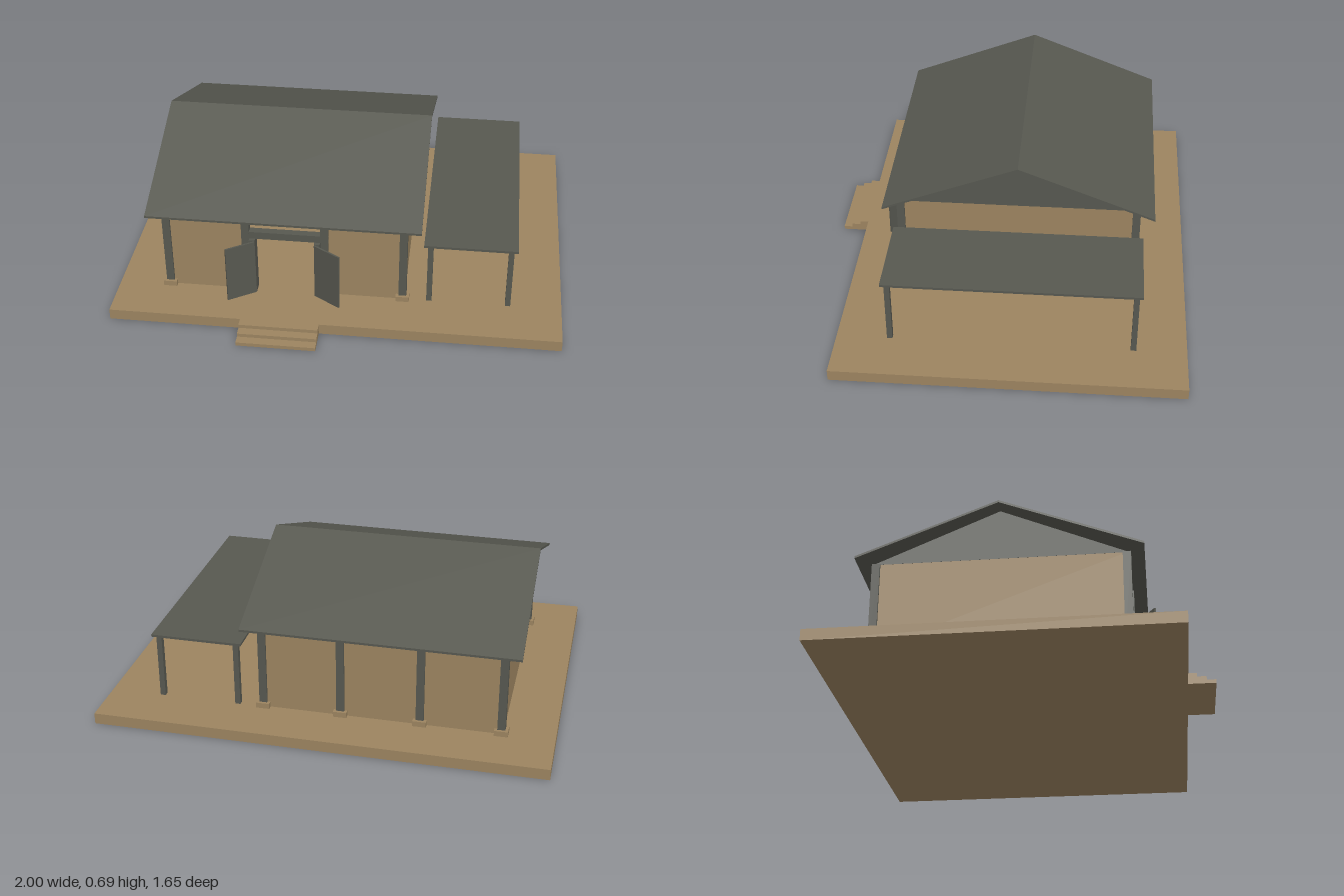
import * as THREE from 'three';

const tan = new THREE.MeshStandardMaterial({ name: 'sand', color: 0x9c8460 });
const gray = new THREE.MeshStandardMaterial({ name: 'slate', color: 0x575850 });

export function createModel() {
  const model = new THREE.Group();
  model.name = 'hall';

  // Box given by its extents along each axis
  function box(name, mat, [x0, x1], [y0, y1], [z0, z1], parent = model) {
    const mesh = new THREE.Mesh(new THREE.BoxGeometry(x1 - x0, y1 - y0, z1 - z0), mat);
    mesh.position.set((x0 + x1) / 2, (y0 + y1) / 2, (z0 + z1) / 2);
    mesh.name = name;
    parent.add(mesh);
    return mesh;
  }
  // Profile in (z, y) extruded along x
  function extrudeX(name, mat, points, x0, x1) {
    const shape = new THREE.Shape(points.map(([z, y]) => new THREE.Vector2(-z, y)));
    const geo = new THREE.ExtrudeGeometry(shape, { depth: x1 - x0, bevelEnabled: false });
    geo.rotateY(Math.PI / 2);
    geo.translate(x0, 0, 0);
    const mesh = new THREE.Mesh(geo, mat);
    mesh.name = name;
    model.add(mesh);
  }
  const around = (c, w) => [c - w / 2, c + w / 2];

  const floor = 0.05, eave = 0.45;
  const front = 0.473, back = -0.588, ridge = -0.06;
  const columns = [-0.768, -0.413, -0.06, 0.29];
  const left = columns[3], right = columns[0];
  const doorX = (columns[1] + columns[2]) / 2;

  // Ground platform and entrance steps
  box('platform', tan, [-1, 1], [0, floor], [-0.825, 0.705]);
  [0.745, 0.785, 0.825].forEach((z, i) =>
    box('step', tan, [-0.41, -0.06], [0, floor * (3 - i) / 3], [0.70, z]));

  // Columns with footings along front and back
  for (const z of [front, back]) {
    for (const x of columns) {
      box('column', gray, around(x, 0.035), [floor, eave], around(z, 0.035));
      box('footing', tan, around(x, 0.06), [floor, 0.075], around(z, 0.06));
    }
  }

  // Walls, with the entrance bay left open
  const t = 0.015, h = [floor, eave];
  box('backWall', tan, [right, left], h, around(back, t));
  box('frontWall', tan, [right, columns[1]], h, around(front, t));
  box('frontWall', tan, [columns[2], left], h, around(front, t));
  for (const x of [right, left]) box('sideWall', tan, around(x, t), h, [back, front]);

  // Gable body and the two roof slabs
  extrudeX('gable', gray, [[0.483, eave], [ridge, 0.682], [-0.603, eave]], right - 0.008, left + 0.008);
  extrudeX('roof', gray, [
    [0.547, 0.449], [0.547, 0.459], [ridge, 0.695], [-0.667, 0.459], [-0.667, 0.449], [ridge, 0.685],
  ], -0.845, 0.37);

  // Entrance lintel, jambs and open door leaves
  box('lintel', gray, [columns[1] - 0.018, columns[2] + 0.018], [0.335, 0.37], around(front, 0.034));
  for (const s of [-1, 1]) {
    box('doorJamb', gray, around(doorX + s * 0.145, 0.026), [floor, 0.335], [0.45, 0.505]);
    const leaf = box('doorLeaf', gray, around(doorX + s * 0.193, 0.138), [0.053, 0.33], around(0.543, 0.008));
    leaf.rotation.y = -s * 0.56;
  }

  // Side canopy on four posts
  const canopy = new THREE.Group();
  canopy.name = 'canopy';
  model.add(canopy);
  box('canopyRoof', gray, [0.38, 0.79], [0.351, 0.362], [-0.62, 0.497], canopy);
  for (const x of [0.409, 0.761]) {
    for (const z of [0.47, -0.593]) {
      box('canopyPost', gray, around(x, 0.024), [floor, 0.352], around(z, 0.024), canopy);
    }
  }
  return model;
}
